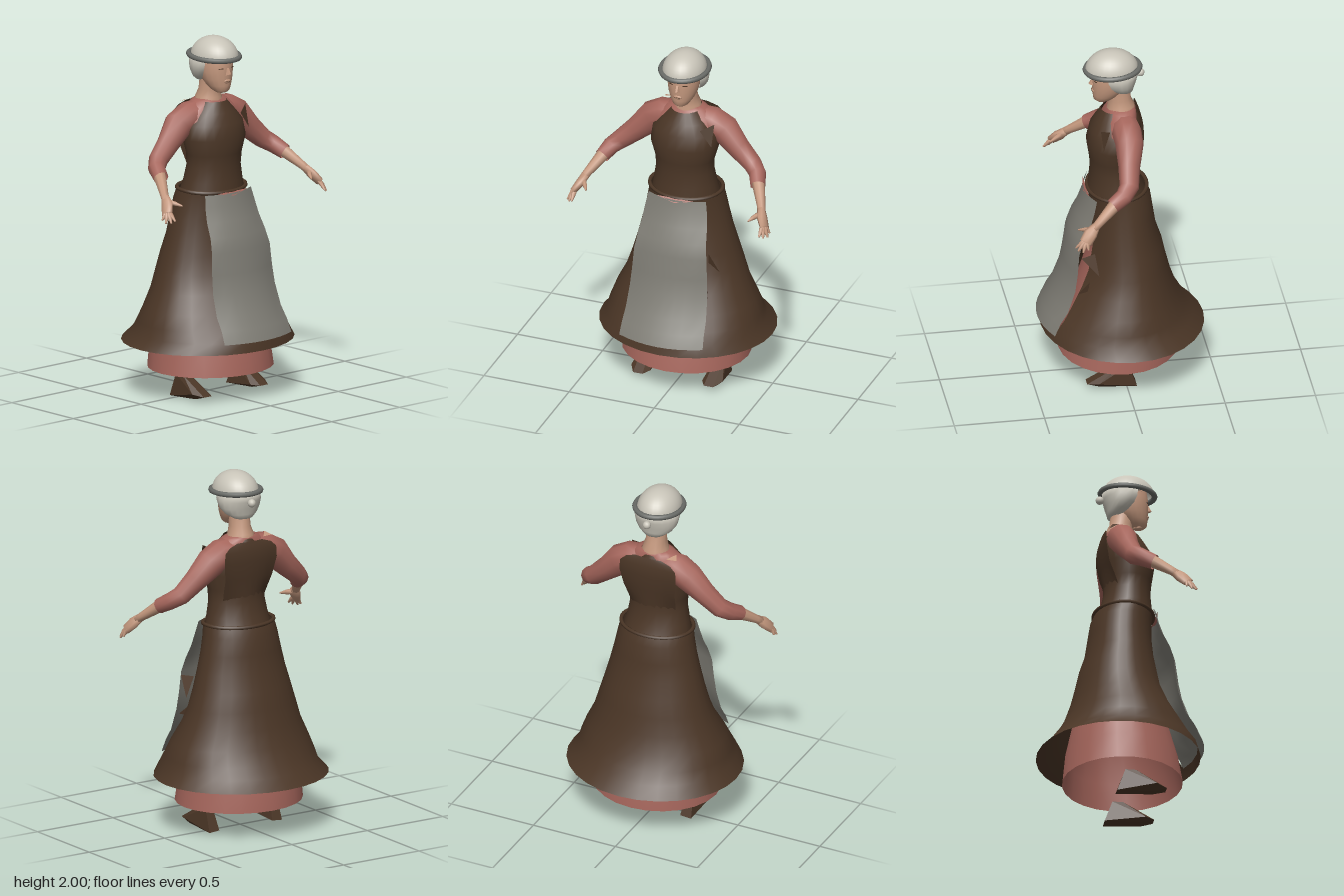
import * as THREE from 'three';
import { ConvexGeometry } from 'three/addons/geometries/ConvexGeometry.js';

const material = (name, color) => {
  const m = new THREE.MeshStandardMaterial({ color, side: THREE.DoubleSide });
  m.name = name;
  return m;
};
const vectors = (points, side = 1) => points.map(([x, y, z]) => new THREE.Vector3(x * side, y, z));

export function createModel() {
  const brown = material('brown cloth', 0x4b3626);
  const pink = material('dusty pink cloth', 0xa6665c);
  const grey = material('grey linen', 0x7f7d75);
  const white = material('off-white linen', 0xc8c4b8);
  const band = material('dark grey band', 0x6a6c68);
  const skin = material('skin', 0xc4987e);

  const model = new THREE.Group();
  model.name = 'woman';
  const add = (name, geometry, mat, parent = model) => {
    const mesh = new THREE.Mesh(geometry, mat);
    mesh.name = name;
    parent.add(mesh);
    return mesh;
  };

  // Joins equal-length rows of points into a surface; skip(i, j) leaves holes
  function surface(rows, { closed = true, capped = false, skip = () => false } = {}) {
    const n = rows[0].length;
    const pts = rows.flat();
    const index = [];
    for (let i = 0; i < rows.length - 1; i++) {
      for (let j = 0; j < (closed ? n : n - 1); j++) {
        if (skip(i, j)) continue;
        const k = (j + 1) % n;
        const a = i * n + j, b = i * n + k, c = a + n, d = b + n;
        index.push(a, b, d, a, d, c);
      }
    }
    if (capped) {
      [0, rows.length - 1].forEach((r, end) => {
        const mid = new THREE.Vector3();
        rows[r].forEach((p) => mid.addScaledVector(p, 1 / n));
        pts.push(mid);
        for (let j = 0; j < n; j++) {
          const a = r * n + j, b = r * n + (j + 1) % n;
          if (end) index.push(a, b, pts.length - 1);
          else index.push(b, a, pts.length - 1);
        }
      });
    }
    const g = new THREE.BufferGeometry().setFromPoints(pts);
    g.setIndex(index);
    g.computeVertexNormals();
    return g;
  }

  // Stacked ellipses: each row is [y, half width, back z, front z], bottom to top
  const stack = (rows, seg, options) => surface(rows.map(([y, hx, zb, zf]) =>
    Array.from({ length: seg }, (_, j) => {
      const a = (j / seg) * Math.PI * 2;
      return new THREE.Vector3(hx * Math.sin(a), y, (zb + zf) / 2 + (zf - zb) / 2 * Math.cos(a));
    })), options);

  // Curved sheet across x: each row is [y, half width, centre z, edge z]
  const sheet = (rows) => surface(rows.map(([y, hx, zc, ze]) => Array.from({ length: 9 }, (_, j) => {
    const s = j / 4 - 1;
    return new THREE.Vector3(hx * s, y, zc + (ze - zc) * s * s);
  })), { closed: false });

  // Tapered limb: each point is [x, y, z, radius, optional second radius]
  function limb(points, seg, side, capped = true) {
    const c = vectors(points, side);
    return surface(c.map((p, i) => {
      const t = c[Math.min(i + 1, c.length - 1)].clone().sub(c[Math.max(i - 1, 0)]).normalize();
      const u = new THREE.Vector3(0, 0, 1).addScaledVector(t, -t.z).normalize();
      const v = t.clone().cross(u);
      const [, , , r, r2 = r] = points[i];
      return Array.from({ length: seg }, (_, j) => {
        const a = (j / seg) * Math.PI * 2;
        return p.clone().addScaledVector(u, r * Math.cos(a)).addScaledVector(v, r2 * Math.sin(a));
      });
    }), { capped });
  }

  const triangle = (points) => {
    const g = new THREE.BufferGeometry().setFromPoints(vectors(points));
    g.computeVertexNormals();
    return g;
  };

  // Overskirt, open behind the apron, with torn points on the left edge
  add('overskirt', stack([
    [0.30, 0.494, -0.46, 0.44], [0.36, 0.445, -0.40, 0.425], [0.42, 0.43, -0.355, 0.375],
    [0.50, 0.40, -0.31, 0.325], [0.60, 0.35, -0.275, 0.265], [0.70, 0.318, -0.25, 0.22],
    [0.80, 0.288, -0.228, 0.20], [0.90, 0.262, -0.195, 0.18], [1.00, 0.238, -0.18, 0.17],
    [1.10, 0.218, -0.165, 0.17], [1.16, 0.208, -0.14, 0.175],
  ], 28, { skip: (i, j) => i > 0 && i < 7 && (j < 2 || j > 25) }), brown);
  add('skirtTear', triangle([[0.25, 0.72, 0.155], [0.22, 0.825, 0.25], [0.19, 0.83, 0.17]]), brown);
  add('skirtTear', triangle([[0.2, 0.6, 0.21], [0.22, 0.6, 0.27], [0.2, 0.66, 0.2]]), brown);

  add('underskirt', stack([
    [0.15, 0.36, -0.318, 0.343], [0.30, 0.345, -0.303, 0.315], [0.45, 0.33, -0.27, 0.27],
    [0.60, 0.29, -0.23, 0.22], [0.80, 0.24, -0.185, 0.16], [1.10, 0.18, -0.12, 0.14],
  ], 24), pink);

  add('apron', sheet([
    [0.36, 0.245, 0.46, 0.40], [0.43, 0.24, 0.43, 0.37], [0.50, 0.235, 0.39, 0.325],
    [0.62, 0.227, 0.34, 0.285], [0.72, 0.22, 0.318, 0.27], [0.84, 0.212, 0.30, 0.26],
    [0.92, 0.20, 0.28, 0.235], [1.00, 0.19, 0.245, 0.195], [1.08, 0.18, 0.215, 0.17],
    [1.145, 0.168, 0.2, 0.155],
  ]), grey);

  // Waistband, dipping at the front, with a sliver of pink below it
  const waist = new THREE.CatmullRomCurve3(Array.from({ length: 20 }, (_, j) => {
    const a = (j / 20) * Math.PI * 2;
    return new THREE.Vector3(0.206 * Math.sin(a),
      1.157 - 0.008 * Math.max(0, Math.cos(a)), 0.018 + 0.163 * Math.cos(a));
  }), true);
  add('waistband', new THREE.TubeGeometry(waist, 40, 0.011, 6, true), brown);
  add('waistTip', triangle([[-0.11, 1.15, 0.188], [0, 1.13, 0.206], [0.11, 1.15, 0.188]]), pink);

  // Bodice with a flat back panel, over a pink shirt
  add('bodice', stack([
    [1.14, 0.19, -0.135, 0.18], [1.20, 0.178, -0.11, 0.172], [1.28, 0.164, -0.092, 0.165],
    [1.35, 0.168, -0.092, 0.172], [1.44, 0.194, -0.105, 0.186], [1.52, 0.186, -0.115, 0.168],
    [1.58, 0.14, -0.11, 0.138], [1.64, 0.085, -0.085, 0.105],
  ], 22), brown);
  add('bodiceBack', sheet([
    [1.26, 0.13, -0.086, -0.02], [1.35, 0.145, -0.095, -0.055], [1.42, 0.155, -0.107, -0.085],
    [1.52, 0.172, -0.121, -0.104],
    [1.58, 0.168, -0.116, -0.104], [1.61, 0.135, -0.108, -0.1], [1.628, 0.08, -0.102, -0.096],
  ]), brown);
  add('shoulderFlap', triangle([[0.12, 1.56, 0.125], [0.185, 1.47, 0.12], [0.19, 1.595, 0.085]]), brown);
  add('shirt', stack([
    [1.30, 0.155, -0.08, 0.14], [1.44, 0.182, -0.09, 0.155], [1.54, 0.19, -0.095, 0.12],
    [1.60, 0.165, -0.09, 0.09], [1.64, 0.11, -0.085, 0.075], [1.65, 0.078, -0.075, 0.06],
  ], 20), pink);
  add('bareShoulder', triangle([[-0.16, 1.636, -0.07], [-0.14, 1.65, -0.03], [-0.1, 1.636, -0.08]]), skin);

  // Arms and shoes, mirrored
  for (const side of [-1, 1]) {
    const arm = new THREE.Group();
    arm.name = side > 0 ? 'leftArm' : 'rightArm';
    model.add(arm);
    add('sleeve', limb([
      [0.07, 1.57, -0.01, 0.075], [0.14, 1.56, -0.014, 0.083], [0.21, 1.52, -0.018, 0.078, 0.086],
      [0.30, 1.43, -0.002, 0.06, 0.066], [0.385, 1.355, 0.012, 0.054, 0.054],
      [0.43, 1.322, 0.05, 0.048], [0.457, 1.285, 0.115, 0.042],
    ], 10, side, false), pink, arm);
    add('forearm', limb([
      [0.42, 1.33, 0.045, 0.036], [0.46, 1.285, 0.11, 0.035],
      [0.51, 1.215, 0.20, 0.024], [0.525, 1.19, 0.23, 0.023],
    ], 8, side), skin, arm);
    add('palm', limb([
      [0.515, 1.205, 0.215, 0.023], [0.535, 1.17, 0.25, 0.038, 0.024], [0.562, 1.13, 0.282, 0.035, 0.018],
    ], 8, side), skin, arm);
    for (const [x, y, z] of [[0.55, 1.095, 0.335], [0.57, 1.085, 0.325], [0.588, 1.083, 0.30], [0.588, 1.095, 0.27]]) {
      const k = (0.31 - z) * 0.4;
      add('finger', limb([
        [0.55 + k * 0.2, 1.15, 0.265 - k, 0.013], [(0.553 + x) / 2, (1.15 + y) / 2, (0.275 + z) / 2, 0.013], [x, y, z, 0.005],
      ], 6, side), skin, arm);
    }
    add('thumb', limb([[0.52, 1.185, 0.24, 0.017], [0.495, 1.175, 0.275, 0.013], [0.475, 1.165, 0.31, 0.004]], 6, side), skin, arm);

    add(side > 0 ? 'leftShoe' : 'rightShoe', new ConvexGeometry(vectors([
      [0.19, 0.13, 0.05], [0.235, 0.13, 0.05], [0.19, 0.13, -0.01], [0.235, 0.13, -0.01],
      [0.152, 0.035, 0.17], [0.268, 0.045, 0.16], [0.18, 0.033, 0.22], [0.235, 0.033, 0.22],
      [0.18, 0.015, 0.15], [0.235, 0.012, 0.15], [0.175, 0.005, -0.055], [0.24, 0.0, -0.055],
    ], side)), brown);
  }

  // Neck and head
  add('neck', stack([
    [1.61, 0.085, -0.085, 0.08], [1.66, 0.07, -0.08, 0.07], [1.70, 0.058, -0.06, 0.068], [1.78, 0.056, -0.05, 0.08],
  ], 14), skin);
  add('head', stack([
    [1.695, 0.03, 0.07, 0.13], [1.708, 0.046, 0.04, 0.147], [1.735, 0.064, 0.0, 0.151],
    [1.77, 0.079, -0.03, 0.154], [1.81, 0.088, -0.05, 0.155], [1.86, 0.092, -0.06, 0.155],
    [1.92, 0.084, -0.06, 0.146],
  ], 18), skin);
  add('jawUnderside', stack([[1.69, 0.01, 0.07, 0.10], [1.695, 0.03, 0.07, 0.13]], 18, { capped: true }), skin);
  add('nose', new ConvexGeometry(vectors([
    [-0.006, 1.845, 0.15], [0.006, 1.845, 0.15], [-0.016, 1.795, 0.148], [0.016, 1.795, 0.148],
    [-0.006, 1.803, 0.173], [0.006, 1.803, 0.173],
  ])), skin);
  const lips = add('lips', new THREE.SphereGeometry(1, 12, 6), skin);
  lips.scale.set(0.024, 0.012, 0.008);
  lips.position.set(0, 1.762, 0.15);
  add('mouth', new THREE.BoxGeometry(0.034, 0.002, 0.004), brown).position.set(0, 1.762, 0.156);
  for (const side of [-1, 1]) {
    const eye = add('eye', new THREE.BoxGeometry(0.026, 0.004, 0.005), brown);
    eye.position.set(side * 0.04, 1.835, 0.143);
    eye.rotation.y = side * 0.35;
  }

  // Cap: dome, gathered back open around the face, rolled band and knot
  const dome = add('capDome', new THREE.SphereGeometry(1, 28, 12, 0, Math.PI * 2, 0, Math.PI / 2), white);
  dome.scale.set(0.12, 0.118, 0.147);
  dome.position.set(0, 1.882, 0.045);
  add('capBack', stack([
    [1.75, 0.055, -0.07, 0.01], [1.775, 0.096, -0.075, 0.06], [1.81, 0.12, -0.085, 0.1],
    [1.85, 0.128, -0.096, 0.125], [1.89, 0.121, -0.1, 0.13],
  ], 20, { capped: true, skip: (i, j) => j < 3 || j > 16 }), white);
  const ring = add('capBand', new THREE.TorusGeometry(0.13, 0.0145, 8, 40).rotateX(Math.PI / 2), band);
  ring.scale.set(1, 1, 1.14);
  ring.rotation.x = 0.045;
  ring.position.set(0, 1.892, 0.041);
  add('capKnot', new THREE.SphereGeometry(0.023, 12, 8), white).position.set(0, 1.848, -0.113);

  return model;
}
